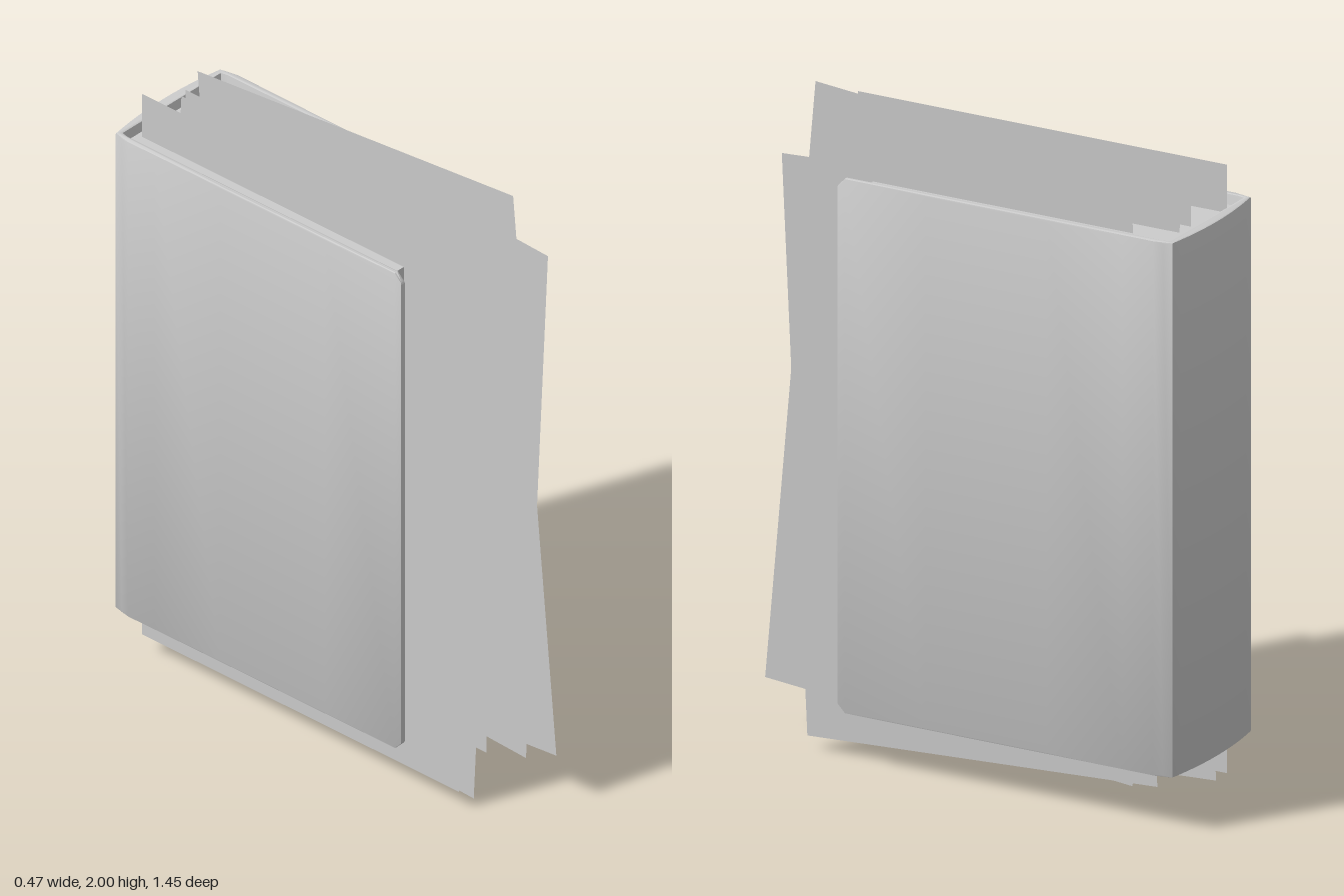
import * as THREE from 'three';
import { toCreasedNormals } from 'three/addons/utils/BufferGeometryUtils.js';

const grey = new THREE.MeshStandardMaterial({ color: 0xcccccc, side: THREE.DoubleSide });

// Book cover: a U-shaped section (x, z) extruded upwards, with trimmed front corners
function coverGeometry() {
  const outer = [[0.228, 0.39], [0.229, 0.365], [0.23, 0.1], [0.231, -0.3], [0.233, -0.55], [0.234, -0.65], [0.228, -0.68], [0.222, -0.708]];
  const inner = [[0.212, 0.39], [0.212, 0.365], [0.212, -0.67], [0.207, -0.692]];
  const mirror = ([x, z]) => [-x, z];
  const spine = [];
  for (let i = 1; i < 12; i++) {
    const x = 0.222 * (1 - i / 6);
    spine.push([x, -0.727 + 0.019 * (x / 0.222) ** 2]);
  }
  const points = [
    ...outer, ...spine, ...outer.map(mirror).reverse(),
    ...inner.map(mirror), ...[...inner].reverse(),
  ].map(([x, z]) => new THREE.Vector2(x, z));
  const bevel = 0.005, height = 1.62;
  const geo = new THREE.ExtrudeGeometry(new THREE.Shape(points), {
    depth: height - 2 * bevel, bevelEnabled: true, bevelSize: bevel,
    bevelThickness: bevel, bevelOffset: -bevel, bevelSegments: 2,
  });
  geo.rotateX(Math.PI / 2).translate(0, height / 2 - bevel, 0);
  const pos = geo.attributes.position;
  for (let i = 0; i < pos.count; i++) {
    const y = pos.getY(i), over = Math.max(0, pos.getZ(i) - 0.365);
    pos.setY(i, y - Math.sign(y) * over);
  }
  return toCreasedNormals(geo, 0.6);
}

export function createModel() {
  const model = new THREE.Group();
  const add = (name, geometry, x, y, z) => {
    const mesh = new THREE.Mesh(geometry, grey);
    mesh.name = name;
    mesh.position.set(x, y, z);
    model.add(mesh);
    return mesh;
  };

  add('cover', coverGeometry(), 0, 0.983, 0);
  add('pageBlock', new THREE.BoxGeometry(0.422, 1.56, 1.02), 0, 0.98, -0.18);

  // Loose sheets: x, y, z, tilt, scale
  const sheets = [
    [-0.15, 0.985, -0.065, 0, 1],
    [-0.08, 0.954, -0.025, 0.05, 1],
    [0, 0.985, -0.065, 0, 0.95],
    [0.06, 1.028, 0.038, -0.09, 1],
    [0.13, 0.945, 0.012, 0.048, 0.95],
  ];
  sheets.forEach(([x, y, z, tilt, s], i) => {
    const geo = new THREE.PlaneGeometry(1.212 * s, 1.842 * s).rotateY(Math.PI / 2);
    add(`looseSheet${i + 1}`, geo, x, y, z).rotation.x = tilt;
  });
  return model;
}
